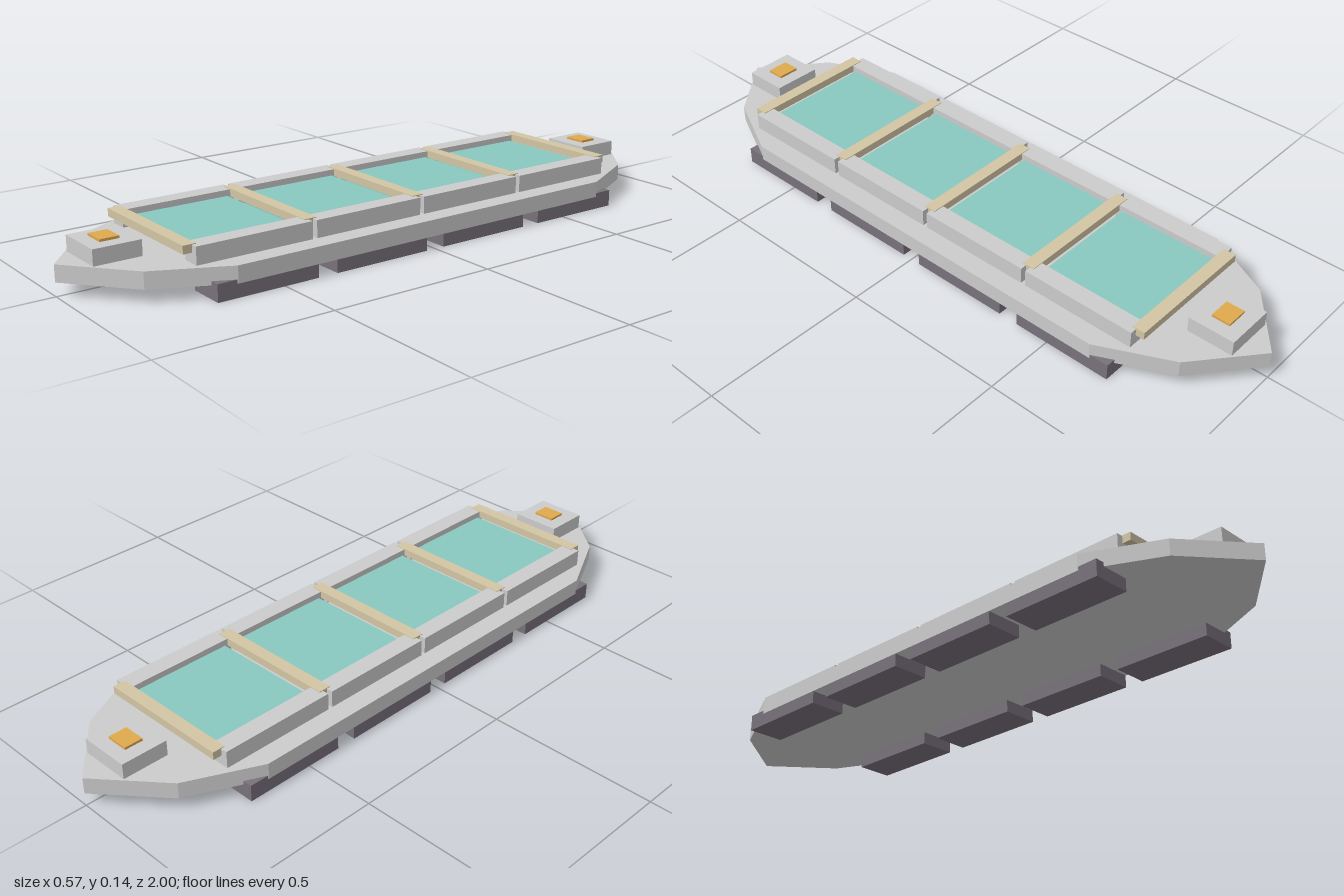
import * as THREE from 'three';

const paint = (color) => new THREE.MeshStandardMaterial({ color });

export function createModel() {
  const model = new THREE.Group();
  const grey = paint(0xcccccc);
  const padPaint = paint(0x78717b);
  const glassPaint = paint(0x88c9bf);
  const trimPaint = paint(0xd2c5a4);
  const lampPaint = paint(0xe0a94e);

  // Box given by its centre in x and z, its bottom and top heights
  function box(name, material, x, z, width, depth, y0, y1) {
    const mesh = new THREE.Mesh(new THREE.BoxGeometry(width, y1 - y0, depth), material);
    mesh.position.set(x, (y0 + y1) / 2, z);
    mesh.name = name;
    model.add(mesh);
  }

  // Flat hull with pointed ends
  const half = [[0, -1], [0.183, -0.848], [0.285, -0.64], [0.285, 0.64], [0.183, 0.848]];
  const outline = [...half, [0, 1], ...half.slice(1).reverse().map(([x, z]) => [-x, z])];
  const hullShape = new THREE.Shape(outline.map(([x, z]) => new THREE.Vector2(x, -z)));
  const hullGeometry = new THREE.ExtrudeGeometry(hullShape, { depth: 0.048, bevelEnabled: false });
  hullGeometry.rotateX(-Math.PI / 2);
  const hull = new THREE.Mesh(hullGeometry, grey);
  hull.position.y = 0.038;
  hull.name = 'hull';
  model.add(hull);

  // Four bays: a recessed panel, with a rail and an underside pad on each side
  const pitch = 0.365;
  for (let i = 0; i < 4; i++) {
    const z = (i - 1.5) * pitch;
    box('glassPanel', glassPaint, 0, z, 0.342, 0.308, 0.086, 0.118);
    for (const side of [-1, 1]) {
      box('sideRail', grey, side * 0.1975, z, 0.055, 0.351, 0.086, 0.136);
      box('bottomPad', padPaint, side * 0.227, z, 0.114, 0.305, 0, 0.049);
    }
  }

  // Cross bars between and at the ends of the bays
  for (let i = 0; i < 5; i++) {
    box('crossBar', trimPaint, 0, (i - 2) * pitch, 0.41, 0.038, 0.115, 0.138);
  }

  // Lamp housing at each end
  for (const end of [-1, 1]) {
    box('lampHousing', grey, 0, end * 0.862, 0.152, 0.137, 0.086, 0.131);
    box('lamp', lampPaint, 0, end * 0.862, 0.067, 0.055, 0.131, 0.138);
  }
  return model;
}
